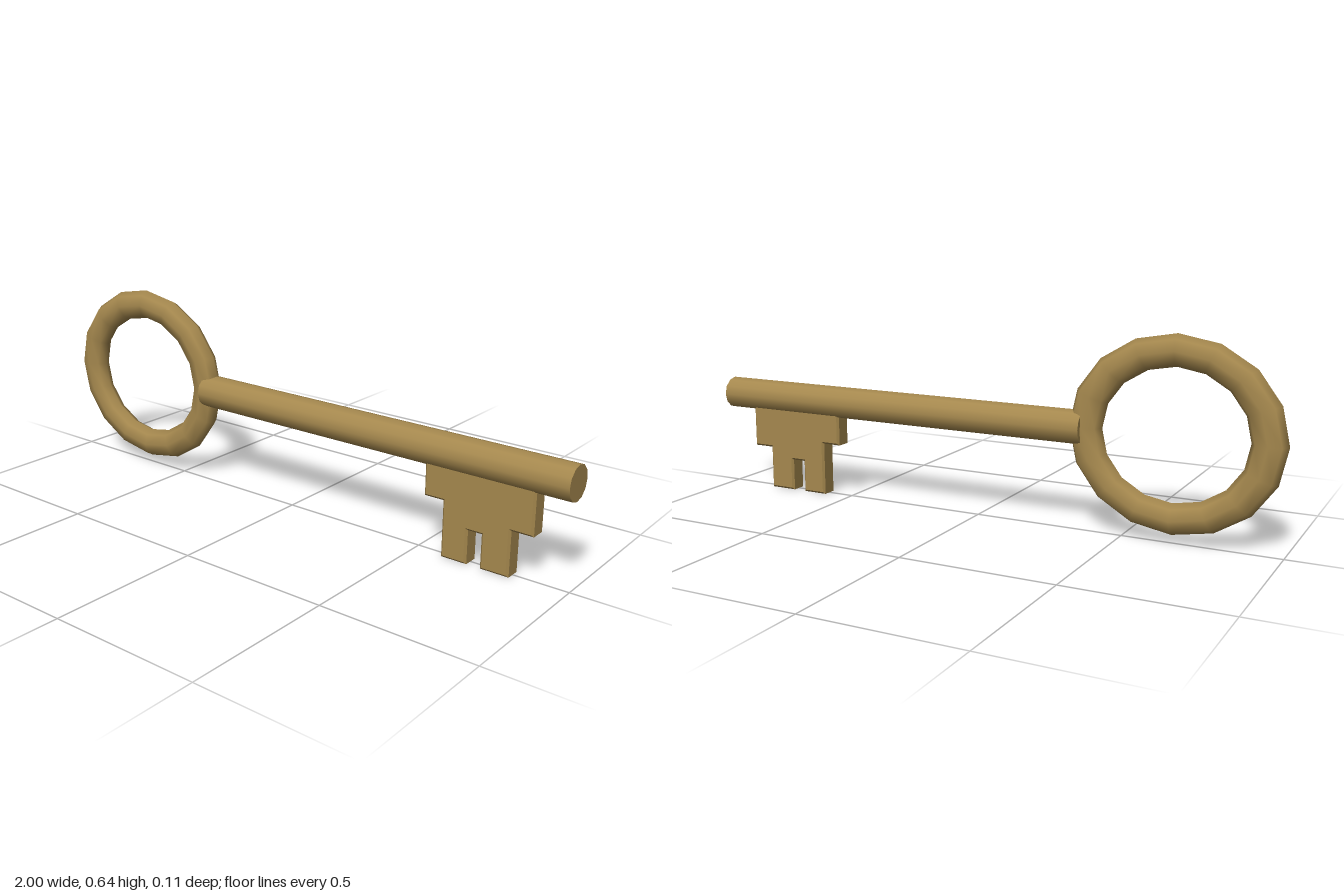
import * as THREE from 'three';

export function createModel() {
  const group = new THREE.Group();
  const brass = new THREE.MeshStandardMaterial({ color: 0xa5884e });
  brass.name = 'agedBrass';

  const add = (name, geometry, x, y) => {
    const mesh = new THREE.Mesh(geometry, brass);
    mesh.name = name;
    mesh.position.set(x, y, 0);
    group.add(mesh);
  };

  // Handle ring: a slightly squashed, flattened torus
  const ring = new THREE.TorusGeometry(0.285, 0.055, 8, 16);
  ring.scale(1, 0.905, 0.67);
  add('handleRing', ring, -0.66, 0.333);

  // Round shaft, running into the ring
  const shaft = new THREE.CylinderGeometry(0.055, 0.055, 1.37, 12);
  shaft.rotateZ(-Math.PI / 2);
  add('shaft', shaft, 0.315, 0.33);

  // Toothed bit with small chamfers, its top sunk into the shaft
  const outline = [
    [0.53, 0.3], [0.53, 0.182], [0.595, 0.182], [0.595, 0],
    [0.682, 0], [0.682, 0.11], [0.728, 0.11], [0.728, 0],
    [0.822, 0], [0.822, 0.147], [0.892, 0.147], [0.892, 0.3],
  ];
  const bevel = 0.007;
  const bit = new THREE.ExtrudeGeometry(
    new THREE.Shape(outline.map(([x, y]) => new THREE.Vector2(x, y))),
    {
      depth: 0.048, bevelEnabled: true, bevelSegments: 1,
      bevelThickness: bevel, bevelSize: bevel, bevelOffset: -bevel,
    },
  );
  bit.translate(0, 0, -0.024);
  add('toothedBit', bit, 0, 0);

  return group;
}
